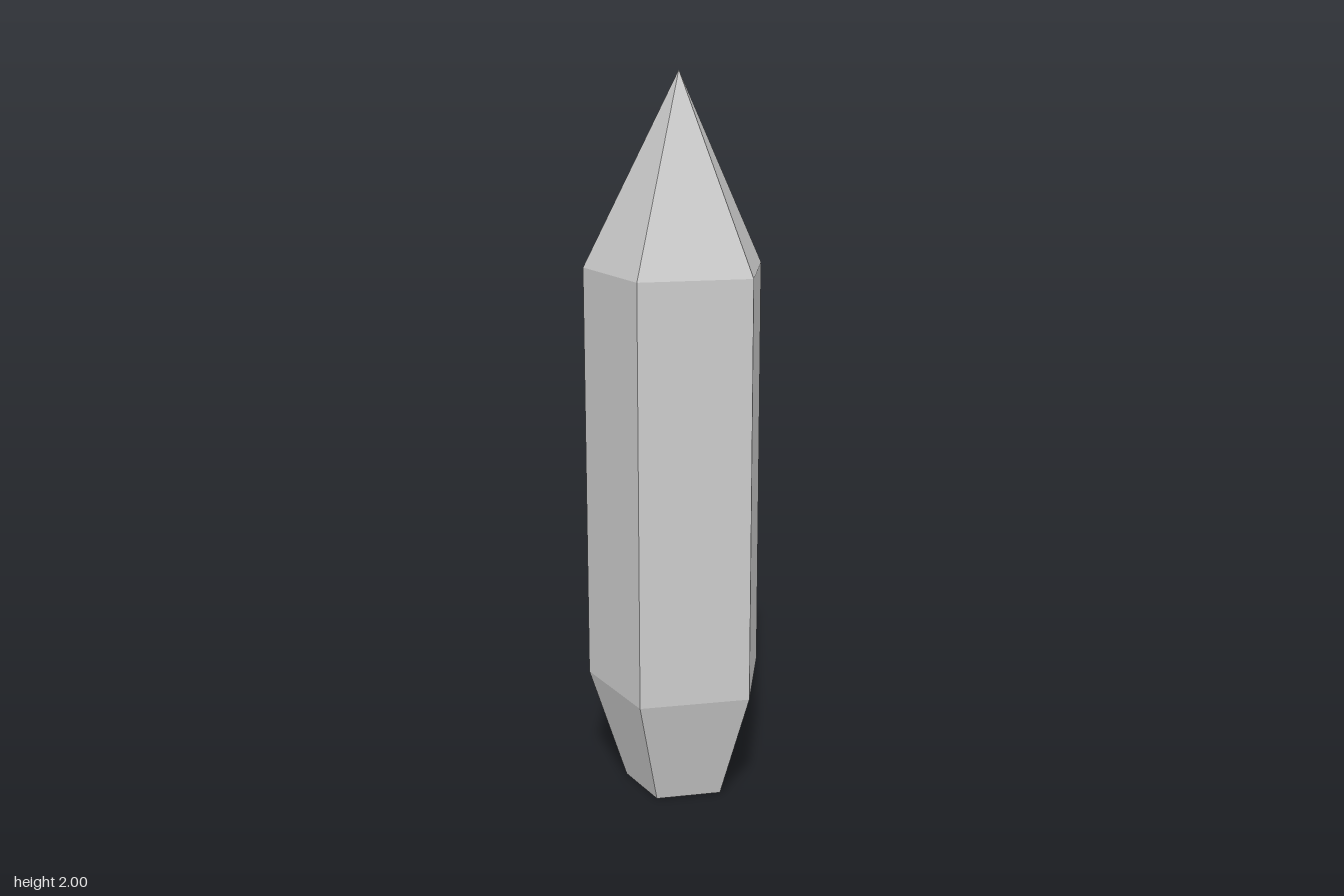
import * as THREE from 'three';

const SIDES = 5;
const RADIUS = 0.26;
const BASE_RADIUS = 0.155;

export function createModel() {
  const crystal = new THREE.Group();
  crystal.name = 'crystal';
  const material = new THREE.MeshStandardMaterial({ color: 0xcccccc, flatShading: true });

  // One faceted ring of the crystal, with a corner pointing to +x
  function addSection(name, profile) {
    const points = profile.map(([r, y]) => new THREE.Vector2(r, y));
    const mesh = new THREE.Mesh(new THREE.LatheGeometry(points, SIDES, Math.PI / 2), material);
    mesh.name = name;
    crystal.add(mesh);
  }

  // Tapered foot, closed underneath
  addSection('base', [[0, 0], [BASE_RADIUS, 0], [RADIUS, 0.315]]);
  // Straight prism
  addSection('shaft', [[RADIUS, 0.315], [RADIUS, 1.48]]);
  // Pointed top
  addSection('tip', [[RADIUS, 1.48], [0, 2]]);

  // Centre the pentagon's uneven width on x = 0
  crystal.children.forEach((part) => { part.position.x = -0.025; });
  return crystal;
}
